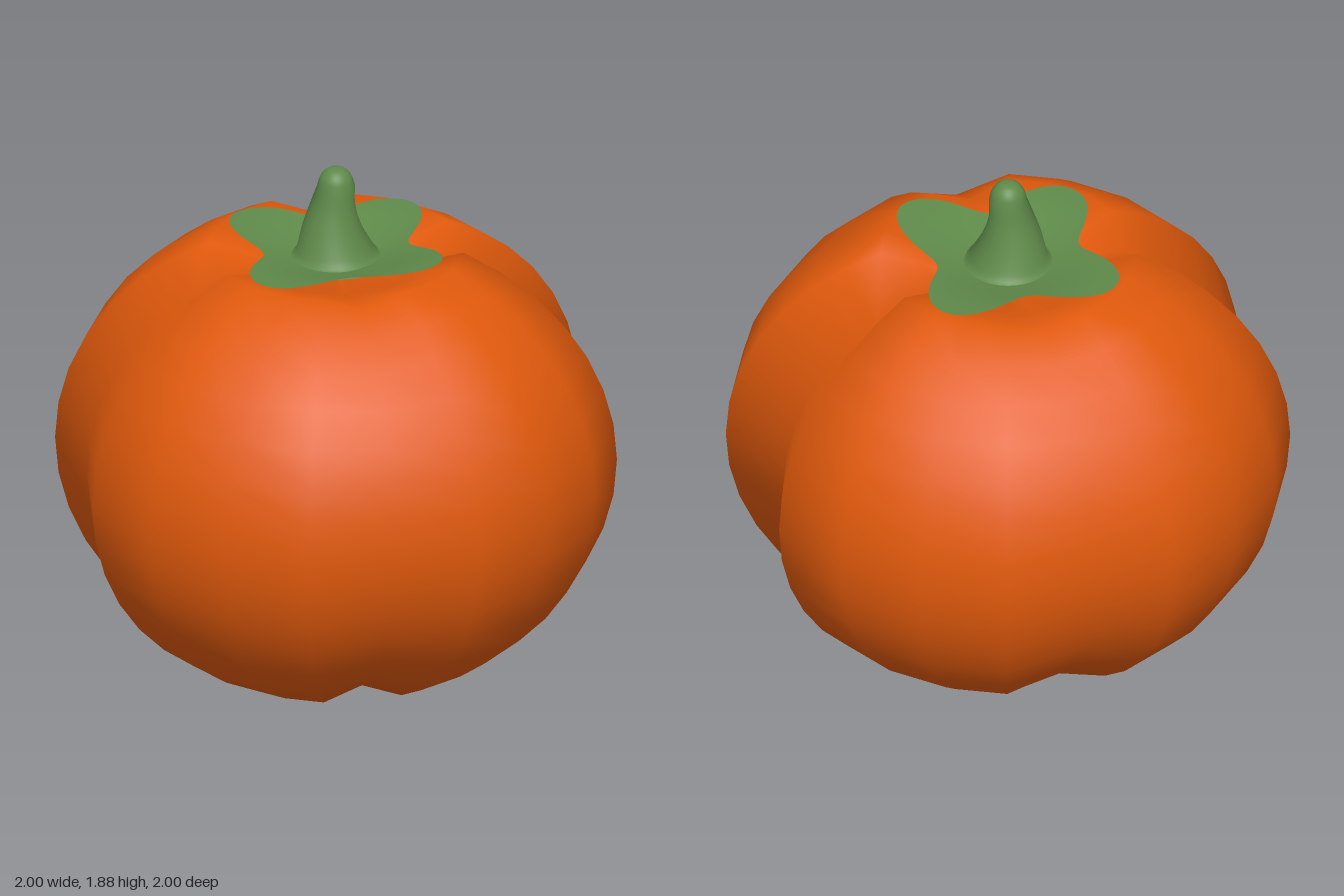
import * as THREE from 'three';

const orange = new THREE.MeshStandardMaterial({ color: 0xe0590c });
const green = new THREE.MeshStandardMaterial({ color: 0x5f8a4a, side: THREE.DoubleSide });

// Smooth surface from a grid of points that closes around its second index
function gridGeometry(rows, cols, point) {
  const pos = [], idx = [];
  for (let i = 0; i <= rows; i++)
    for (let j = 0; j < cols; j++) pos.push(...point(i, j));
  for (let i = 0; i < rows; i++)
    for (let j = 0; j < cols; j++) {
      const k = (j + 1) % cols;
      const a = i * cols + j, b = a + cols, c = i * cols + k, d = c + cols;
      idx.push(a, c, b, c, d, b);
    }
  const g = new THREE.BufferGeometry();
  g.setAttribute('position', new THREE.Float32BufferAttribute(pos, 3));
  g.setIndex(idx);
  g.computeVertexNormals();
  return g;
}

// Squashed 20-sided ball with four grooves and sunken poles
function bodyGeometry() {
  const n = 20, midY = 0.765;
  const groove = { 4: 0.936, 9: 0.905, 14: 0.936, 19: 0.83 };
  const topSink = [1.43, 1.46, 1.51], bottomSink = [0.12, 0.075, 0.025];
  return gridGeometry(n, n, (i, j) => {
    const phi = (i / n) * Math.PI, theta = (j / n) * Math.PI * 2;
    const atPole = i === 0 || i === n;
    const s = atPole ? 1 : groove[j] ?? 1;
    let y = 0.88 * Math.cos(phi);
    if (i < 3) y = topSink[i] - midY;
    if (i > n - 3) y = bottomSink[n - i] - midY;
    const r = Math.sin(phi) * s;
    return [r * Math.cos(theta), midY + (Math.abs(y) < 0.784 ? y * (i < 3 || i > n - 3 ? (1 + s) / 2 : s) : y * s), r * Math.sin(theta)];
  });
}

// Four-lobed leaf collar, lifted toward the tips
function leafGeometry() {
  const rows = 8, cols = 96, turn = Math.PI / 6;
  return gridGeometry(rows, cols, (i, j) => {
    const theta = (j / cols) * Math.PI * 2;
    const r = (i / rows) * (0.35 + 0.09 * Math.cos(4 * (theta - turn)));
    const lift = Math.max(0, Math.cos(theta - turn)) ** 4;
    const y = 1.505 + 0.06 * Math.sin(Math.min(1, r / 0.42) * Math.PI / 2) ** 2
      + 0.035 * lift * (r / 0.44) ** 2;
    return [r * Math.cos(theta), y, r * Math.sin(theta)];
  }).scale(1, 1, 1);
}

// Flared stem with a rounded, slightly bent tip
function stemGeometry() {
  const profile = new THREE.SplineCurve([
    [0.19, 1.51], [0.15, 1.53], [0.125, 1.58], [0.1, 1.65], [0.08, 1.72],
    [0.067, 1.79], [0.055, 1.83], [0.03, 1.855], [0, 1.86],
  ].map(([x, y]) => new THREE.Vector2(x, y)));
  const pts = profile.getPoints(32);
  pts.forEach((p) => { p.x = Math.max(0, p.x); });
  const g = new THREE.LatheGeometry(pts, 32);
  const p = g.attributes.position;
  for (let i = 0; i < p.count; i++) {
    const t = THREE.MathUtils.clamp((p.getY(i) - 1.54) / 0.25, 0, 1);
    p.setX(i, p.getX(i) - 0.016 * Math.sin(t * Math.PI));
  }
  return g;
}

export function createModel() {
  const group = new THREE.Group();
  group.name = 'pumpkin';
  const add = (name, geometry, material) => {
    const mesh = new THREE.Mesh(geometry, material);
    mesh.name = name;
    group.add(mesh);
  };
  add('body', bodyGeometry(), orange);
  add('leafCollar', leafGeometry(), green);
  add('stem', stemGeometry(), green);
  return group;
}
